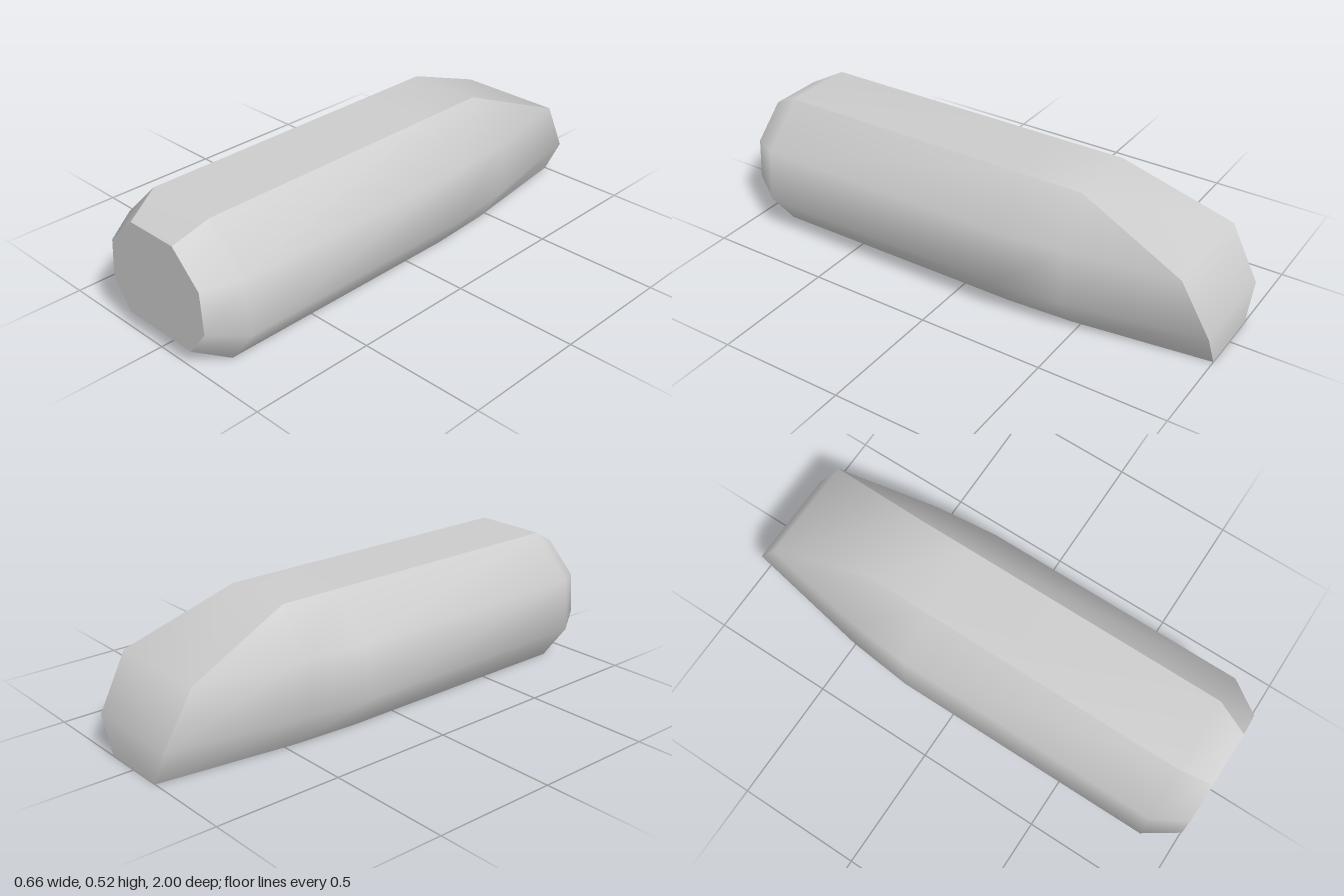
import * as THREE from 'three';
import { mergeVertices } from 'three/addons/utils/BufferGeometryUtils.js';

// Left half of each cross-section, front to back: top edge, shoulder, widest point, bottom edge
const half = [
  [[0.111, 0.453, 1], [0.237, 0.332, 1], [0.25, 0.172, 1], [0.168, 0.065, 1]],
  [[0.149, 0.52, 0.87], [0.315, 0.357, 0.87], [0.332, 0.145, 0.87], [0.223, 0, 0.87]],
  [[0.149, 0.52, -0.2], [0.315, 0.357, -0.2], [0.332, 0.145, -0.2], [0.223, 0, -0.2]],
  [[0.149, 0.52, -0.455], [0.29, 0.355, -0.46], [0.304, 0.145, -0.465], [0.207, 0, -0.465]],
  [[0.215, 0.352, -0.885], [0.215, 0.352, -0.885], [0.204, 0.14, -1], [0.137, 0, -1]],
];
const mirror = ([x, y, z]) => [-x, y, z];

// Full rings: down the left side, then up the right side
const rings = half.map((h) => [...h, ...[...h].reverse().map(mirror)]);

// Smooth surface through a grid of points
function patch(rows) {
  const cols = rows[0].length;
  const index = [];
  for (let s = 0; s < rows.length - 1; s++) {
    for (let k = 0; k < cols - 1; k++) {
      const a = s * cols + k, b = a + cols;
      index.push(a, a + 1, b, a + 1, b + 1, b);
    }
  }
  const geo = new THREE.BufferGeometry();
  geo.setAttribute('position', new THREE.Float32BufferAttribute(rows.flat(2), 3));
  geo.setIndex(index);
  const merged = mergeVertices(geo);
  merged.computeVertexNormals();
  return merged;
}

export function createModel() {
  const group = new THREE.Group();
  group.name = 'bevelledBlock';
  const grey = new THREE.MeshStandardMaterial({ color: 0xcccccc });
  grey.name = 'light grey';

  const add = (name, rows) => {
    const mesh = new THREE.Mesh(patch(rows), grey);
    mesh.name = name;
    group.add(mesh);
  };

  // Rounded flanks and flat underside
  add('leftSide', rings.map((r) => r.slice(0, 4)));
  add('rightSide', rings.map((r) => r.slice(4, 8)));
  add('underside', rings.map((r) => r.slice(3, 5)));

  // Top runs over the sloping tail and down the back end
  const tail = half[4];
  const topEdge = [...half.map((h) => h[0]), tail[2], tail[3]];
  add('topAndTail', topEdge.map((p) => [mirror(p), p]));

  // Flat front end
  const front = half[0];
  add('frontFace', [front.map(mirror), front]);

  return group;
}
